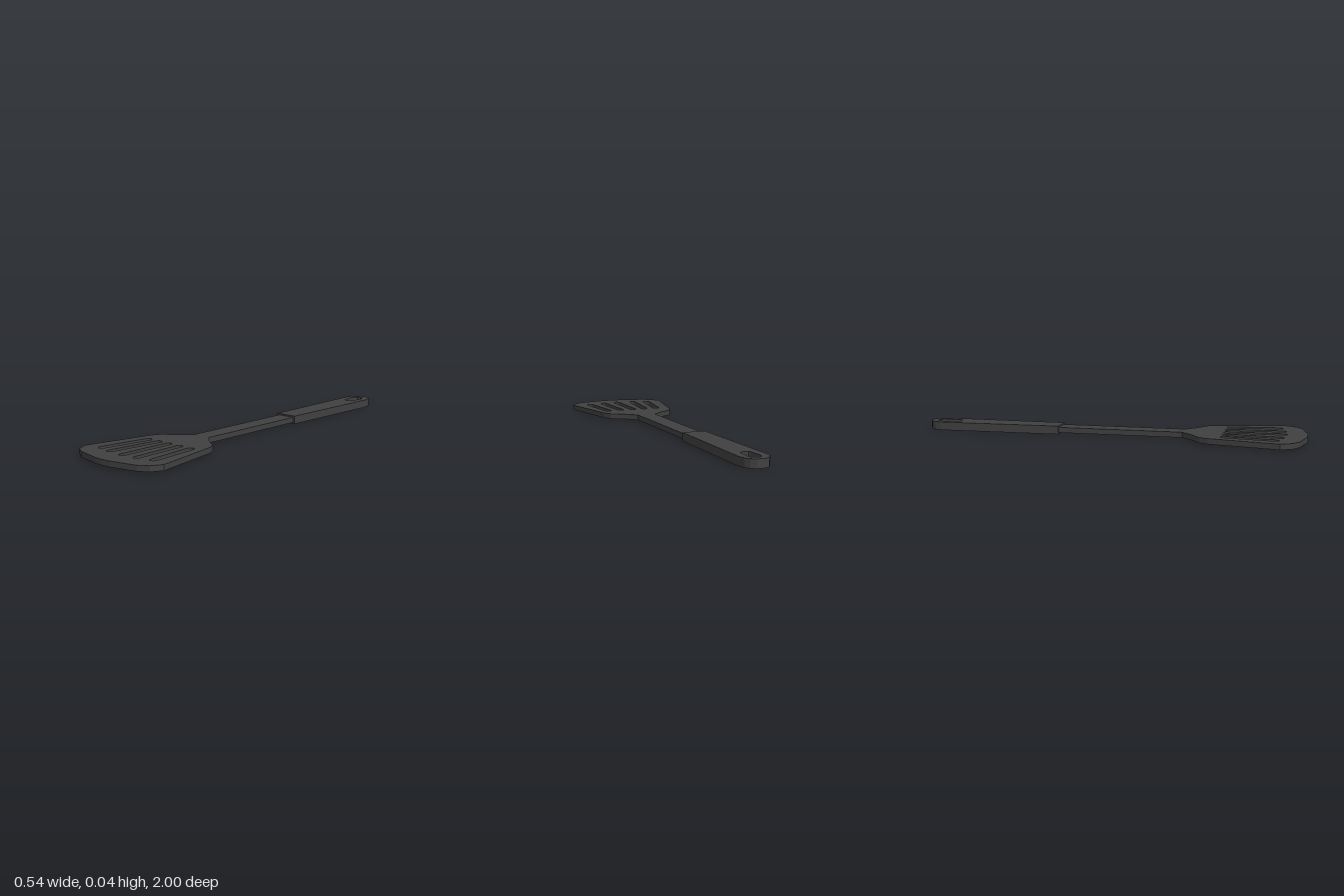
import * as THREE from 'three';

// Closed outline mirrored about x = 0 from half-outline points (x, z)
function mirrored(half) {
  const right = half.map(([x, z]) => new THREE.Vector2(x, -z));
  const left = half.filter(([x]) => x > 0).reverse().map(([x, z]) => new THREE.Vector2(-x, -z));
  return [...right, ...left];
}

// Round-ended slot outline between two (x, z) points
function slot(x1, z1, x2, z2, r, steps = 6) {
  const a = Math.atan2(z2 - z1, x2 - x1);
  const pts = [];
  for (const [x, z, start] of [[x1, z1, a + Math.PI / 2], [x2, z2, a - Math.PI / 2]]) {
    for (let i = 0; i <= steps; i++) {
      const t = start + (Math.PI * i) / steps;
      pts.push(new THREE.Vector2(x + r * Math.cos(t), -(z + r * Math.sin(t))));
    }
  }
  return pts;
}

// Flat plate between two heights; holes run against the outline so their walls face inward
function plate(name, half, holes, y0, y1, material) {
  const shape = new THREE.Shape(mirrored(half));
  for (const pts of holes) shape.holes.push(new THREE.Path(pts.reverse()));
  const geometry = new THREE.ExtrudeGeometry(shape, { depth: y1 - y0, bevelEnabled: false });
  geometry.rotateX(-Math.PI / 2).translate(0, y0, 0);
  const mesh = new THREE.Mesh(geometry, material);
  mesh.name = name;
  return mesh;
}

export function createModel() {
  const group = new THREE.Group();
  group.name = 'slottedTurner';
  const nylon = new THREE.MeshStandardMaterial({ color: 0x404040 });
  nylon.name = 'darkNylon';

  // Blade with its neck and shaft, five slots fanning outward
  const slots = [
    slot(-0.141, 0.597, -0.179, 0.851, 0.019),
    slot(-0.07, 0.597, -0.097, 0.873, 0.018),
    slot(0, 0.597, 0, 0.881, 0.018),
    slot(0.075, 0.597, 0.087, 0.873, 0.018),
    slot(0.15, 0.597, 0.177, 0.851, 0.019),
  ];
  group.add(plate('bladeAndShaft', [
    [0.05, -0.3], [0.05, 0.374], [0.098, 0.422], [0.178, 0.477], [0.2, 0.52],
    [0.272, 0.878], [0.241, 0.936], [0.193, 0.966], [0.05, 0.997], [0, 1],
  ], slots, 0.007, 0.035, nylon));

  // Thicker grip with rounded end and hanging hole
  const hangingHole = mirrored([
    [0, -0.966], [0.018, -0.96], [0.029, -0.943], [0.031, -0.92],
    [0.026, -0.85], [0.02, -0.836], [0, -0.832],
  ]);
  group.add(plate('grip', [
    [0.02, -1], [0.045, -0.985], [0.062, -0.96], [0.07, -0.925], [0.07, -0.88],
    [0.06, -0.276],
  ], [hangingHole], 0, 0.043, nylon));

  return group;
}
